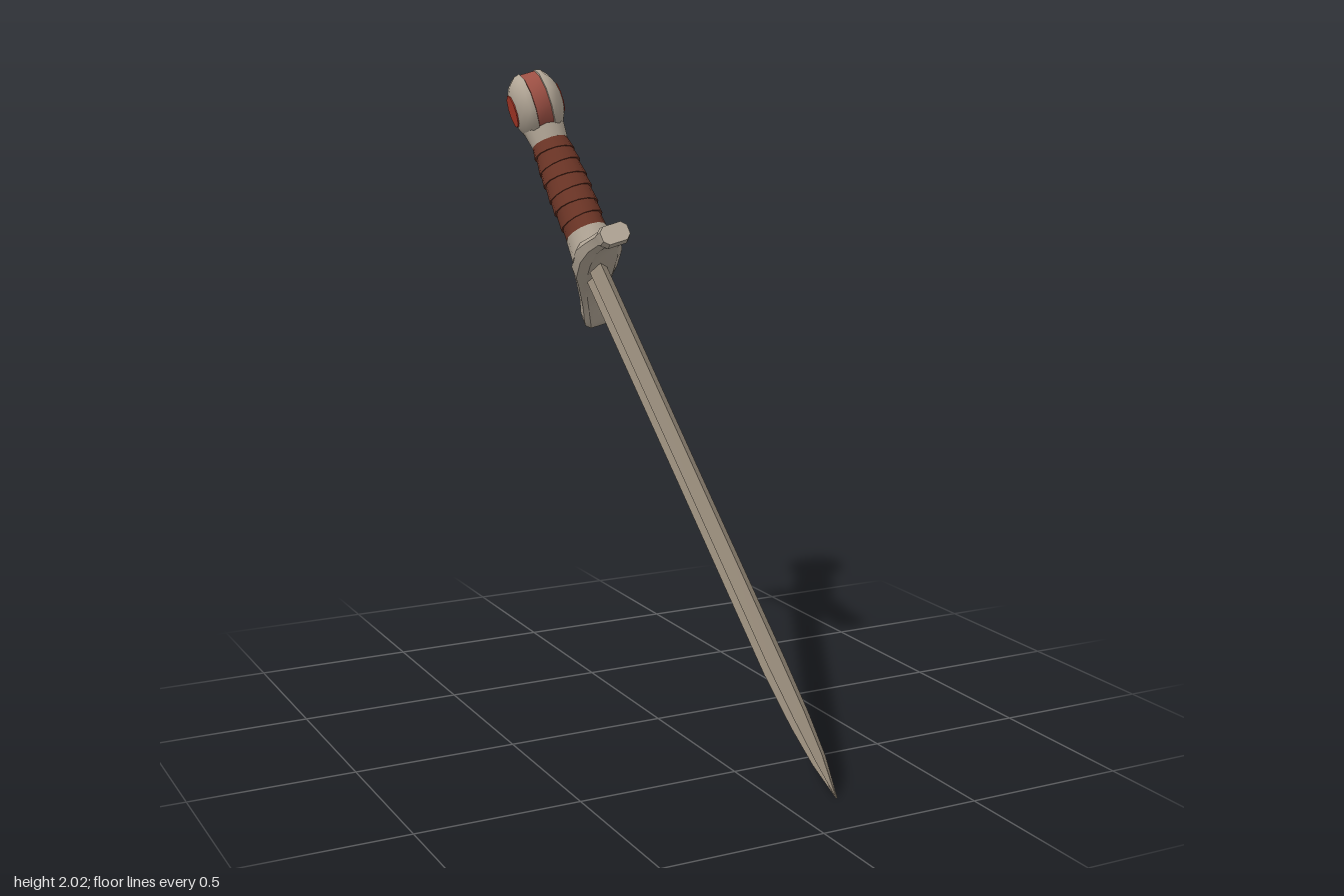
import * as THREE from 'three';
import { toCreasedNormals } from 'three/addons/utils/BufferGeometryUtils.js';

const mat = (name, color) => {
  const m = new THREE.MeshStandardMaterial({ color });
  m.name = name;
  return m;
};

// Skin a list of equal-length rings of [x, y, z] points, with capped ends
function loft(rings, crease = 0.5) {
  const n = rings[0].length, last = (rings.length - 1) * n, index = [];
  for (let i = 0; i < rings.length - 1; i++) {
    for (let j = 0; j < n; j++) {
      const a = i * n + j, b = i * n + (j + 1) % n;
      index.push(a, b, b + n, a, b + n, a + n);
    }
  }
  for (let j = 1; j < n - 1; j++) {
    index.push(0, j + 1, j, last, last + j, last + j + 1);
  }
  const g = new THREE.BufferGeometry();
  g.setAttribute('position', new THREE.Float32BufferAttribute(rings.flat(2), 3));
  g.setIndex(index);
  return toCreasedNormals(g, crease);
}

// Group whose y runs along the given axis and whose x is the flat side's normal
function framed(name, origin, axis) {
  const y = new THREE.Vector3(...axis).normalize();
  const x = new THREE.Vector3(0.945, 0.268, 0.167);
  x.addScaledVector(y, -x.dot(y)).normalize();
  const z = new THREE.Vector3().crossVectors(x, y);
  const g = new THREE.Group();
  g.name = name;
  g.quaternion.setFromRotationMatrix(new THREE.Matrix4().makeBasis(x, y, z));
  g.position.set(...origin);
  return g;
}

function add(parent, name, geometry, material) {
  const m = new THREE.Mesh(geometry, material);
  m.name = name;
  parent.add(m);
  return m;
}

export function createModel() {
  const steel = mat('blade steel', 0xa39684);
  const pale = mat('pale metal', 0xb3a797);
  const leather = mat('brown leather', 0x6c3526);
  const red = mat('red enamel', 0xb03a29);
  const dullRed = mat('dull red inlay', 0x9c5044);
  const model = new THREE.Group();
  model.name = 'dagger';

  // Blade: distance from tip, front edge, back edge, half thickness
  const blade = framed('bladeGroup', [0.16, 0, 0.81], [-0.098, 0.753, -0.65]);
  const stations = [
    [0, 0.002, -0.002, 0.002], [0.12, 0.053, -0.066, 0.017], [0.25, 0.073, -0.108, 0.024],
    [0.43, 0.076, -0.134, 0.028], [1.1, 0.075, -0.134, 0.028], [1.88, 0.073, -0.134, 0.03],
  ];
  const section = [[0, 1], [1, 0.42], [0.5, 0.15], [0.5, -0.15], [1, -0.42],
    [0, -1], [-1, -0.42], [-0.5, -0.15], [-0.5, 0.15], [-1, 0.42]];
  const bladeRings = stations.map(([s, a, b, t]) =>
    section.map(([x, z]) => [x * t, s, (a + b) / 2 + z * (a - b) / 2]));
  add(blade, 'blade', loft(bladeRings, 0.3), steel);
  model.add(blade);

  const hilt = framed('hilt', [-0.017, 1.425, -0.403], [-0.148, 0.844, -0.517]);
  model.add(hilt);

  // Crossguard: position along its length, drop, half width, half height
  const guard = [
    [-0.35, -0.082, 0.042, 0.03], [-0.32, -0.073, 0.046, 0.037], [-0.27, -0.045, 0.044, 0.03],
    [-0.16, -0.012, 0.056, 0.03], [-0.07, 0.003, 0.072, 0.043], [0.07, 0.003, 0.072, 0.043],
    [0.16, -0.008, 0.056, 0.03], [0.27, -0.035, 0.045, 0.028], [0.32, -0.05, 0.048, 0.036],
    [0.355, -0.056, 0.044, 0.031],
  ];
  const octagon = [[1, -0.5], [1, 0.5], [0.65, 1], [-0.65, 1], [-1, 0.5], [-1, -0.5], [-0.65, -1], [0.65, -1]];
  const guardRings = guard.map(([z, y, w, h]) => octagon.map(([px, py]) => [px * w, y + py * h, z]));
  add(hilt, 'crossguard', loft(guardRings, 0.7), pale);

  // Tapered oval band standing on the hilt axis
  const band = (name, y0, y1, [x0, z0], [x1, z1], material, tilt = 0) => {
    const ring = (y, rx, rz) => Array.from({ length: 14 }, (_, i) => {
      const a = i / 14 * Math.PI * 2;
      return [rx * Math.sin(a), y + tilt * Math.sin(a), rz * Math.cos(a)];
    });
    add(hilt, name, loft([ring(y0, x0, z0), ring(y1, x1, z1)], 0.7), material);
  };
  band('collar', 0.02, 0.092, [0.076, 0.09], [0.07, 0.084], pale);

  // Leather grip: overlapping wraps following a slight swell
  const wraps = 7, gripStart = 0.085, step = 0.05;
  const radius = (t) => [0.066 + 0.036 * t * (1 - t) - 0.006 * t, 0.081 - 0.025 * t];
  for (let i = 0; i < wraps; i++) {
    const y = gripStart + i * step;
    const low = radius(i / wraps).map((r) => r + 0.003);
    const high = radius((i + 1) / wraps).map((r) => r - 0.003);
    band('gripWrap', y, y + step + 0.006, low, high, leather, i % 2 ? 0.004 : -0.004);
  }

  // Pommel: neck, thick disc with a rim groove, inlay and side discs
  band('pommelNeck', 0.425, 0.5, [0.06, 0.056], [0.07, 0.075], pale);
  const pommel = new THREE.Group();
  pommel.name = 'pommel';
  pommel.position.set(0, 0.564, 0.015);
  hilt.add(pommel);
  const disc = (name, profile, material) => {
    const g = new THREE.LatheGeometry(profile.map(([r, y]) => new THREE.Vector2(r, y)), 12);
    g.rotateZ(-Math.PI / 2);
    add(pommel, name, toCreasedNormals(g, 0.7), material);
  };
  const half = [[0.103, 0.025], [0.111, 0.027], [0.106, 0.045], [0.086, 0.064], [0.058, 0.078], [0, 0.078]];
  const mirrored = half.map(([r, y]) => [r, -y]).reverse();
  disc('pommelDisc', [...mirrored, ...half], pale);
  disc('rimInlay', [[0.1, -0.025], [0.107, -0.025], [0.107, 0.025], [0.1, 0.025]], dullRed);
  for (const side of [-1, 1]) {
    const g = new THREE.CylinderGeometry(0.054, 0.054, 0.006, 10);
    g.rotateZ(Math.PI / 2);
    add(pommel, 'sideDisc', g, red).position.x = side * 0.079;
  }
  return model;
}
